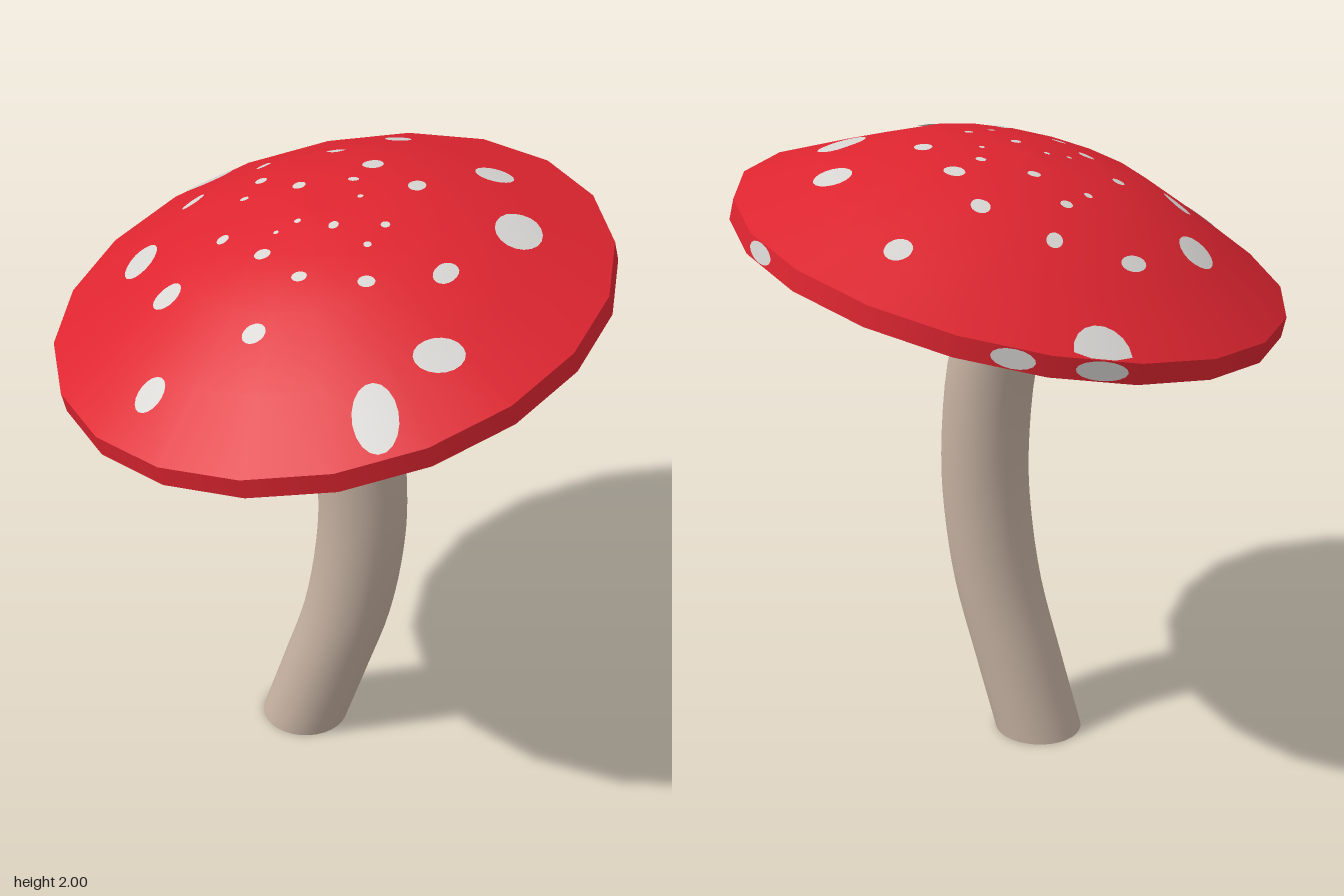
import * as THREE from 'three';
import { mergeGeometries, mergeVertices } from 'three/addons/utils/BufferGeometryUtils.js';

const flat = (name, color, side = THREE.FrontSide) => {
  const m = new THREE.MeshStandardMaterial({ color, side });
  m.name = name;
  return m;
};

export function createModel() {
  const model = new THREE.Group();
  model.name = 'mushroom';
  const red = flat('cap red', 0xde2530);
  const white = flat('spot white', 0xd8d6d3, THREE.DoubleSide);
  const beige = flat('stem beige', 0xc4b0a0);
  const gills = flat('underside beige', 0xc2b3a8);

  const add = (name, geometry, material) => {
    const mesh = new THREE.Mesh(geometry, material);
    mesh.name = name;
    model.add(mesh);
    return mesh;
  };

  // Cap parts are made upright, then tilted and lifted into place
  const SIDES = 20, R = 0.865, RIM = 0.066;
  const axis = new THREE.Vector3(-0.19, 1, 0.105).normalize();
  const tilt = new THREE.Quaternion().setFromUnitVectors(new THREE.Vector3(0, 1, 0), axis);
  const place = (g) => g.applyQuaternion(tilt).translate(0.005, 1.615, -0.003);

  const profile = [[R, RIM], [0.64, 0.188], [0.41, 0.303], [0.2, 0.348], [0, 0.362]];
  const dome = add('capDome', place(new THREE.LatheGeometry(
    profile.map(([r, y]) => new THREE.Vector2(r, y)), SIDES)), red);
  add('capRim', place(new THREE.CylinderGeometry(R, R, RIM, SIDES, 1, true)
    .translate(0, RIM / 2, 0)), red);
  add('capUnderside', place(new THREE.CircleGeometry(R, SIDES).rotateX(Math.PI / 2)), gills);

  // Spots: x, z, half width, half depth, turn; each is dropped onto the dome
  const spots = [
    [-0.61, -0.58, 0.08, 0.095], [0.01, -0.645, 0.042, 0.042], [0.39, -0.385, 0.06, 0.055],
    [-0.34, -0.36, 0.022, 0.03], [-0.115, -0.39, 0.03, 0.026], [0.04, -0.27, 0.033, 0.03],
    [-0.525, -0.22, 0.025, 0.046, 0.3], [-0.29, -0.19, 0.018, 0.02], [-0.145, -0.12, 0.02, 0.02],
    [0.015, -0.155, 0.017, 0.013], [0.21, -0.16, 0.027, 0.03], [0.54, -0.095, 0.07, 0.088],
    [-0.305, -0.08, 0.013, 0.012], [0.065, -0.06, 0.009, 0.009], [-0.585, 0.08, 0.05, 0.078, -0.25],
    [-0.3, 0.13, 0.018, 0.02], [-0.135, 0.125, 0.008, 0.008], [-0.085, 0.075, 0.01, 0.01],
    [0.03, 0.09, 0.015, 0.018], [0.18, 0.065, 0.014, 0.014], [0.155, 0.16, 0.012, 0.012],
    [-0.145, 0.22, 0.025, 0.02], [-0.41, 0.315, 0.043, 0.038], [-0.005, 0.305, 0.023, 0.018],
    [0.195, 0.3, 0.026, 0.022], [0.4, 0.195, 0.03, 0.045, 0.5], [0.455, 0.45, 0.075, 0.05, -0.4],
  ];
  spots.push([-0.08, 0.49, 0.035, 0.027], [-0.355, 0.615, 0.045, 0.047], [0.335, 0.665, 0.065, 0.095, -0.5]);

  dome.updateMatrixWorld();
  const ray = new THREE.Raycaster();
  const down = new THREE.Vector3(0, -1, 0);
  const drop = (x, z) => {
    ray.set(new THREE.Vector3(x, 3, z), down);
    return ray.intersectObject(dome)[0];
  };
  const spotGeometry = ([cx, cz, rx, rz, turn = 0]) => {
    const g = new THREE.RingGeometry(0.001, 1, 18, 4);
    const { position, normal } = g.attributes;
    const c = Math.cos(turn), s = Math.sin(turn);
    for (let i = 0; i < position.count; i++) {
      const px = position.getX(i) * rx, pz = -position.getY(i) * rz;
      const dx = px * c - pz * s, dz = px * s + pz * c;
      // Points past the rim are pulled back until they meet the dome
      let hit;
      for (let k = 1; k >= 0 && !hit; k -= 0.04) hit = drop(cx + dx * k, cz + dz * k);
      if (!hit) continue;
      const n = hit.normal.clone().normalize();
      const p = hit.point.clone().addScaledVector(n, 0.004);
      position.setXYZ(i, p.x, p.y, p.z);
      normal.setXYZ(i, n.x, n.y, n.z);
    }
    return g;
  };
  add('capSpots', mergeGeometries(spots.map(spotGeometry)), white);

  // Spots on the rim: face angle, sideways shift, half width
  const rimSpots = [[153, -0.06, 0.06], [207, 0.03, 0.065], [225, 0.02, 0.08]];
  add('rimSpots', mergeGeometries(rimSpots.map(([deg, shift, w]) =>
    place(new THREE.CircleGeometry(1, 16).scale(w, 0.03, 1)
      .translate(shift, 0.034, R * Math.cos(Math.PI / SIDES) + 0.003)
      .rotateY(THREE.MathUtils.degToRad(deg))))), white);

  // Stem: level cross-sections following a bowed centre line
  const line = new THREE.CatmullRomCurve3([
    [-0.092, 0], [-0.015, 0.25], [0.058, 0.5], [0.097, 0.75], [0.106, 0.95],
    [0.08, 1.25], [0.015, 1.5], [-0.04, 1.68],
  ].map(([x, y]) => new THREE.Vector3(x, y, 0.025)));
  let stem = new THREE.CylinderGeometry(1, 1, 1, 32, 28, true);
  const pos = stem.attributes.position;
  for (let i = 0; i < pos.count; i++) {
    const p = line.getPoint(THREE.MathUtils.clamp(pos.getY(i) + 0.5, 0, 1));
    pos.setXYZ(i, p.x + pos.getX(i) * 0.142, p.y, p.z + pos.getZ(i) * 0.136);
  }
  stem.deleteAttribute('uv');
  stem.deleteAttribute('normal');
  stem = mergeVertices(stem);
  stem.computeVertexNormals();
  add('stem', stem, beige);
  add('stemBase', new THREE.CircleGeometry(1, 32).rotateX(Math.PI / 2)
    .scale(0.142, 1, 0.136).translate(-0.092, 0, 0.025), beige);

  return model;
}
